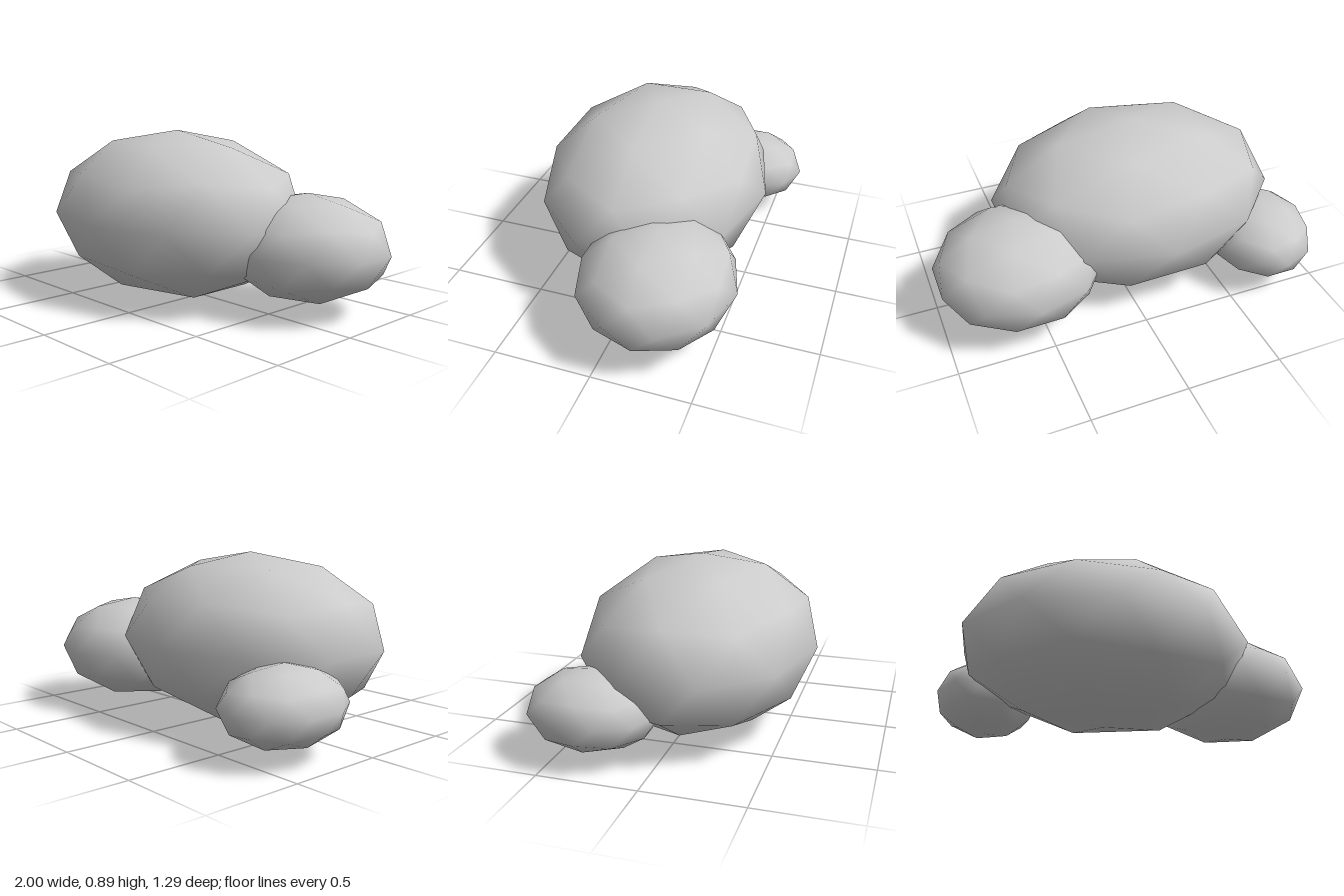
import * as THREE from 'three';

const stone = new THREE.MeshStandardMaterial({ color: 0xcccccc });
stone.name = 'light grey stone';

// Smooth-shaded icosphere with a vertex pointing straight up, stretched into an ellipsoid
function boulder(name, [rx, ry, rz], [x, y, z]) {
  const geometry = new THREE.IcosahedronGeometry(1, 1);
  geometry.rotateZ(-Math.atan(2 / (1 + Math.sqrt(5))));
  geometry.scale(rx, ry, rz);
  const mesh = new THREE.Mesh(geometry, stone);
  mesh.name = name;
  mesh.position.set(x, y, z);
  return mesh;
}

export function createModel() {
  const group = new THREE.Group();
  group.name = 'boulderCluster';
  group.add(
    boulder('largeBoulder', [0.775, 0.447, 0.6], [-0.135, 0.447, 0.045]),
    boulder('mediumBoulder', [0.441, 0.276, 0.398], [0.58, 0.331, -0.192]),
    boulder('smallBoulder', [0.275, 0.195, 0.33], [-0.738, 0.252, -0.315]),
  );
  return group;
}
